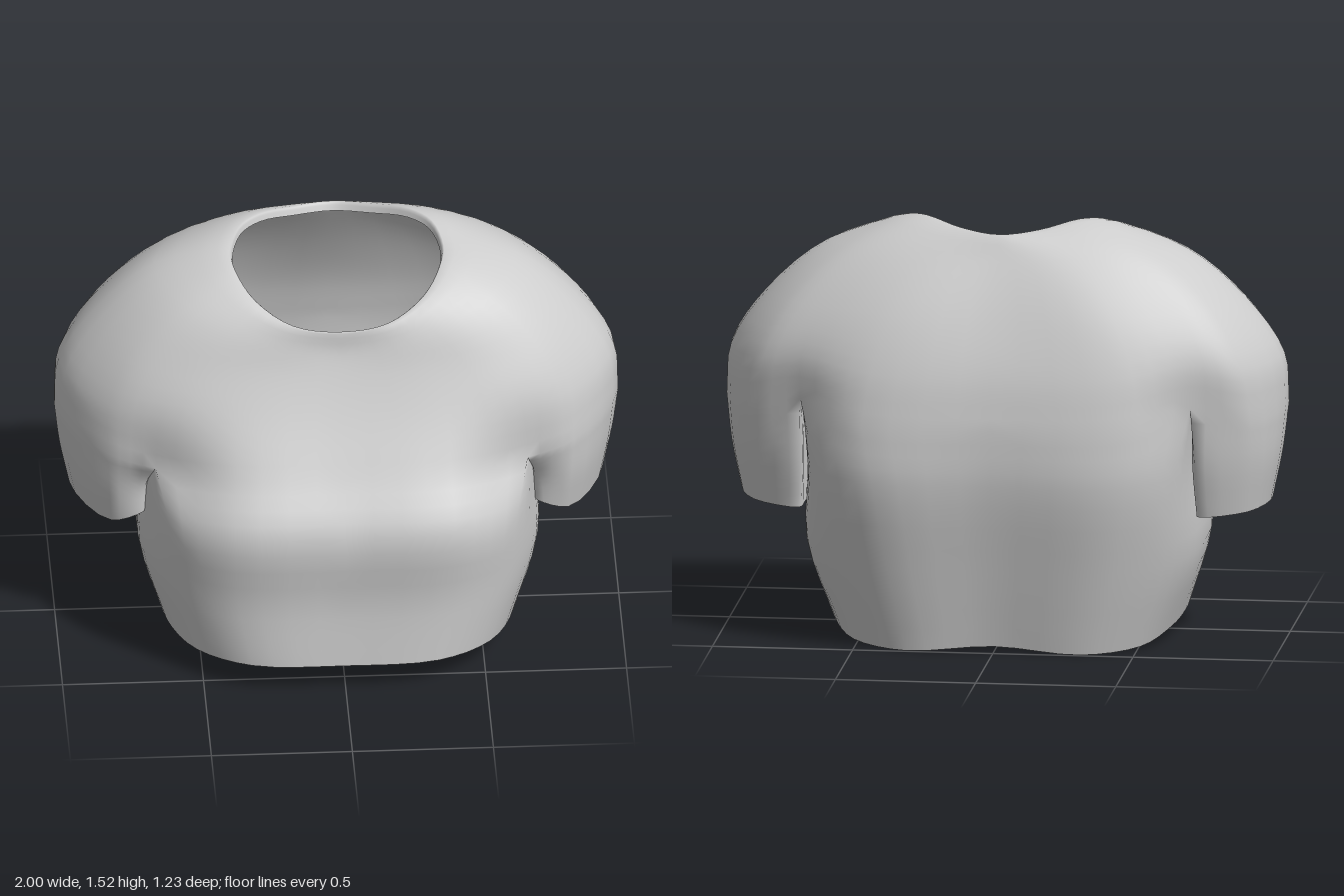
import * as THREE from 'three';
import { mergeGeometries, mergeVertices } from 'three/addons/utils/BufferGeometryUtils.js';

const S = 4; // subdivisions between control points
const V = (p) => new THREE.Vector3(...p);

// Smooth curve through control points, S samples per span
function sample(points, closed) {
  const spans = closed ? points.length : points.length - 1;
  return new THREE.CatmullRomCurve3(points, closed).getPoints(spans * S);
}

// Half of a mirrored ring, running front centre -> side -> back centre
function halfRing(ctrl) {
  const pts = ctrl.map(V);
  const other = pts.slice(1, -1).reverse().map((p) => new THREE.Vector3(-p.x, p.y, p.z));
  const half = sample([...pts, ...other], true).slice(0, (pts.length - 1) * S + 1);
  half[0].x = half[half.length - 1].x = 0;
  return half;
}

// Skin over rings listed from bottom to top
function loft(rings) {
  const cols = rings[0].map((_, i) => sample(rings.map((r) => r[i]), false));
  const rows = cols[0].length, pos = [], idx = [];
  cols.forEach((c) => c.forEach((p) => pos.push(p.x, p.y, p.z)));
  for (let i = 0; i < cols.length - 1; i++) {
    for (let j = 0; j < rows - 1; j++) {
      const a = i * rows + j, b = a + rows;
      idx.push(a, b, b + 1, a, b + 1, a + 1);
    }
  }
  const g = new THREE.BufferGeometry();
  g.setAttribute('position', new THREE.Float32BufferAttribute(pos, 3));
  g.setIndex(idx);
  return g;
}

function mirrorX(geometry) {
  const g = geometry.clone().scale(-1, 1, 1);
  const idx = g.index.array;
  for (let i = 0; i < idx.length; i += 3) [idx[i], idx[i + 1]] = [idx[i + 1], idx[i]];
  return g;
}

export function createModel() {
  const cloth = new THREE.MeshStandardMaterial({ color: 0xcccccc, side: THREE.DoubleSide });
  cloth.name = 'grey cloth';

  // Yoke: armpit level up to the neckline, shoulders included
  const yoke = [
    [[0, .82, .495], [.38, .82, .485], [.66, .78, .32], [.825, .81, .26], [1, .84, -.03],
      [.9, .83, -.33], [.695, .89, -.43], [.46, .83, -.575], [0, .82, -.585]],
    [[0, 1, .39], [.37, 1, .39], [.64, 1, .325], [.82, 1, .23], [.985, 1.02, -.04],
      [.87, 1.02, -.35], [.69, 1.05, -.44], [.43, 1.01, -.545], [0, 1, -.55]],
    [[0, 1.14, .32], [.31, 1.16, .315], [.55, 1.18, .275], [.73, 1.2, .175], [.855, 1.215, -.06],
      [.76, 1.22, -.31], [.61, 1.22, -.4], [.36, 1.21, -.475], [0, 1.2, -.47]],
    [[0, 1.23, .285], [.23, 1.26, .28], [.42, 1.315, .23], [.56, 1.36, .13], [.64, 1.395, -.07],
      [.56, 1.41, -.23], [.44, 1.42, -.3], [.25, 1.4, -.36], [0, 1.39, -.37]],
    [[0, 1.3, .275], [.17, 1.32, .258], [.3, 1.38, .18], [.365, 1.435, .07], [.38, 1.465, -.02],
      [.345, 1.505, -.12], [.27, 1.515, -.19], [.14, 1.49, -.27], [0, 1.478, -.315]],
  ].map(halfRing);
  const chest = yoke[0];
  // Collar edge turned slightly inward
  yoke.push(yoke[4].map((p) => new THREE.Vector3(p.x * .97, p.y - .03, p.z * .94)));

  // Underarm seam shared by body and sleeve, running front -> back
  const front = chest.slice(0, 2 * S), arm = chest.slice(2 * S, 6 * S + 1), back = chest.slice(6 * S + 1);
  const underarm = sample([arm[0], V([.69, .79, .18]), V([.7, .81, -.03]), V([.7, .84, -.24]), arm[arm.length - 1]], false);

  // Body: hem up to the chest
  const body = [
    [[0, .11, .605], [.33, .11, .585], [.52, .1, .45], [.615, .085, .22], [.63, .075, -.02],
      [.6, .05, -.2], [.51, .012, -.375], [.31, 0, -.488], [0, .02, -.475]],
    [[0, .36, .59], [.38, .36, .575], [.59, .36, .44], [.695, .36, .2], [.71, .35, -.03],
      [.69, .33, -.24], [.6, .31, -.415], [.37, .3, -.545], [0, .3, -.53]],
    [[0, .64, .605], [.39, .64, .597], [.615, .61, .44], [.69, .63, .2], [.695, .63, -.03],
      [.69, .64, -.25], [.64, .64, -.46], [.42, .62, -.595], [0, .62, -.585]],
  ].map(halfRing);
  body.push([...front, ...underarm, ...back]);

  // Sleeve: open cuff up to the armhole
  const sleeve = [
    [[.7, .54, .225], [.81, .5, .21], [.945, .5, -.05], [.88, .485, -.26],
      [.715, .475, -.33], [.7, .48, -.24], [.695, .49, -.05], [.69, .51, .1]],
    [[.69, .66, .235], [.82, .66, .245], [.98, .67, -.05], [.9, .67, -.3],
      [.705, .67, -.38], [.7, .67, -.25], [.7, .66, -.04], [.69, .65, .12]],
  ].map((ring) => sample(ring.map(V), true));
  sleeve.push([...arm, ...underarm.slice(0, -1).reverse()]);

  // Mirror and weld so shading flows across the seams
  const half = [yoke, body, sleeve].map(loft);
  const geometry = mergeVertices(mergeGeometries([...half, ...half.map(mirrorX)]), 1e-4);
  geometry.computeVertexNormals();

  const shirt = new THREE.Mesh(geometry, cloth);
  shirt.name = 'shortSleeveShirt';
  const group = new THREE.Group();
  group.name = 'shirt';
  group.add(shirt);
  return group;
}
